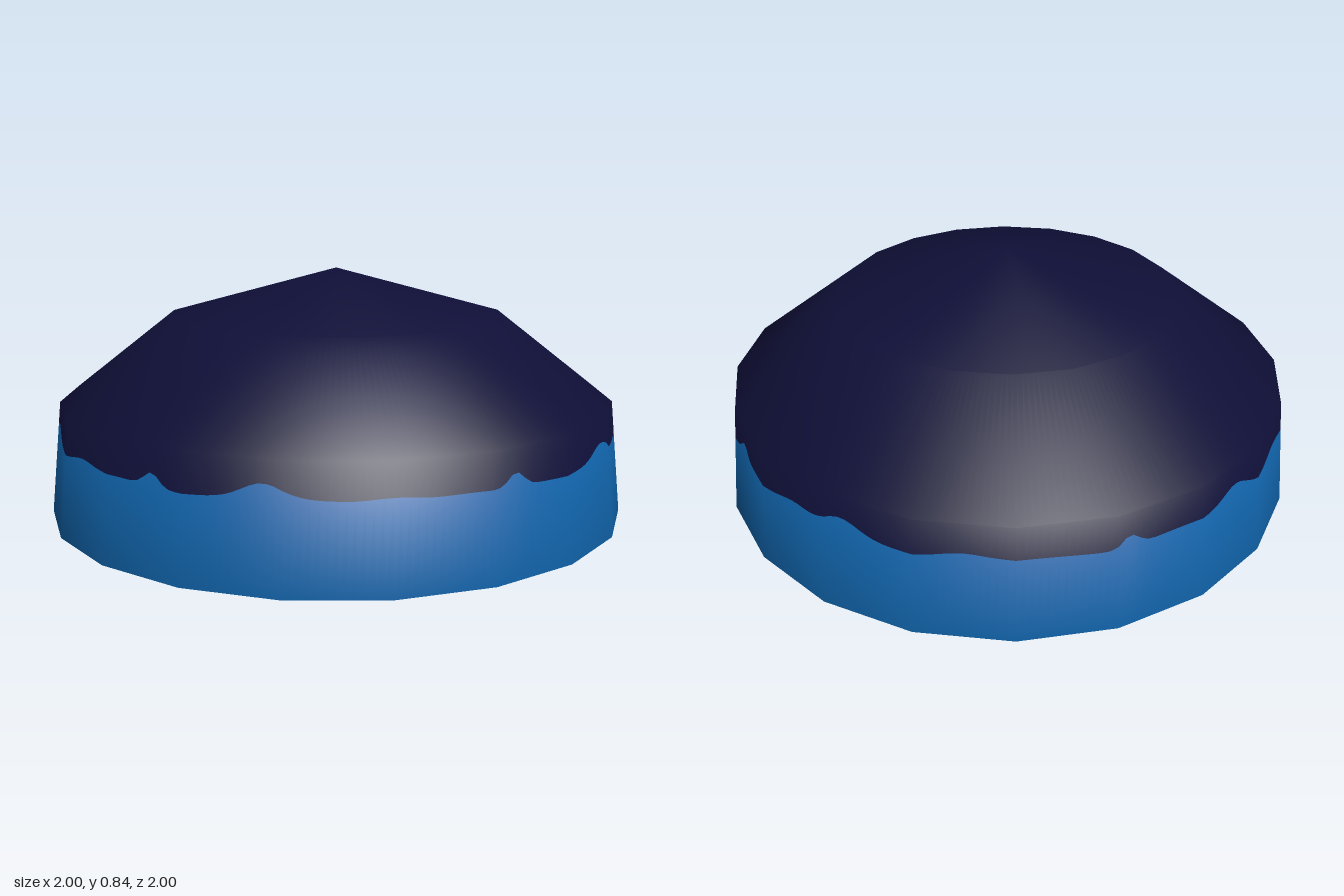
import * as THREE from 'three';

const SIDES = 20, STEPS = 12, TURN = 9.6; // facets, columns per facet, angle of first corner
// height, corner radius and normal elevation (degrees) of each ring
const RINGS = [[0, 1.01, 3], [0.39, 0.97, 33], [0.68, 0.596, 64], [0.842, 0, 90]];
// bumps of the paint edge: angle, height, width (degrees)
const BUMPS = [
  ...[6, 79, 157, 236, 300].map(a => [a, 0.043, 5]),
  ...[344.5, 51, 124, 210, 280].map(a => [a, 0.04, 2.4]),
  ...[28, 102, 145, 180, 255, 323].map(a => [a, 0.014, 5]),
];

function paintEdge(angle) {
  let y = 0.277 + 0.004 * Math.sin(THREE.MathUtils.degToRad(angle * 10));
  for (const [a, h, w] of BUMPS) {
    const d = THREE.MathUtils.euclideanModulo(angle - a + 180, 360) - 180;
    y += h * Math.exp(-((d / w) ** 2));
  }
  return y;
}

// point and smooth normal on the faceted shell
function shellPoint(column, y) {
  let k = 0;
  while (k < RINGS.length - 2 && y > RINGS[k + 1][0]) k++;
  const [y0, r0, e0] = RINGS[k], [y1, r1, e1] = RINGS[k + 1];
  const t = (y - y0) / (y1 - y0);
  const r = r0 + (r1 - r0) * t;
  const el = THREE.MathUtils.degToRad(e0 + (e1 - e0) * t);
  const side = Math.floor(column / STEPS), f = column / STEPS - side;
  const a = THREE.MathUtils.degToRad(TURN + side * 360 / SIDES);
  const b = a + 2 * Math.PI / SIDES, m = a + (b - a) * f;
  return {
    p: [r * (Math.sin(a) * (1 - f) + Math.sin(b) * f), y, r * (Math.cos(a) * (1 - f) + Math.cos(b) * f)],
    n: [Math.sin(m) * Math.cos(el), Math.sin(el), Math.cos(m) * Math.cos(el)],
  };
}

// shell surface through rows of heights; each row is a function of the angle
function shellGeometry(rows) {
  const pos = [], nor = [], idx = [], cols = SIDES * STEPS, w = cols + 1;
  rows.forEach((row, j) => {
    for (let i = 0; i <= cols; i++) {
      const { p, n } = shellPoint(i, row(TURN + i * 360 / cols));
      pos.push(...p);
      nor.push(...n);
      if (j && i < cols) {
        const a = (j - 1) * w + i, d = j * w + i;
        idx.push(a, a + 1, d + 1, a, d + 1, d);
      }
    }
  });
  const g = new THREE.BufferGeometry();
  g.setAttribute('position', new THREE.Float32BufferAttribute(pos, 3));
  g.setAttribute('normal', new THREE.Float32BufferAttribute(nor, 3));
  g.setIndex(idx);
  return g;
}

export function createModel() {
  const group = new THREE.Group();
  const material = (name, color) => new THREE.MeshStandardMaterial({ name, color, side: THREE.DoubleSide });
  const blue = material('blue', 0x1062a8);
  const navy = material('navy', 0x0f0f38);
  const brown = material('brown', 0x4a3a22);
  const add = (name, geometry, mat, x = 0, y = 0, z = 0) => {
    const mesh = new THREE.Mesh(geometry, mat);
    mesh.name = name;
    mesh.position.set(x, y, z);
    group.add(mesh);
  };

  // open shell: blue wall below, navy dome above a dripping edge
  add('lowerWall', shellGeometry([() => 0, paintEdge]), blue);
  add('dome', shellGeometry([paintEdge, ...RINGS.slice(1).map(r => () => r[0])]), navy);

  // floor disc, leaving a gap to the wall
  add('floorDisc', new THREE.CylinderGeometry(0.78, 0.78, 0.008, 12), navy, 0, 0.006);

  // thin fibres lying across the floor, a few reaching past its rim
  for (let i = 0; i < 30; i++) {
    const z = -0.7 + i * 1.4 / 29;
    const half = Math.sqrt(0.78 ** 2 - z * z) - 0.03 + (i % 4 === 0 ? 0.06 : 0);
    add('floorFibre', new THREE.BoxGeometry(2 * half, 0.004, 0.005), brown, 0, 0.012, z);
  }

  // upright panel inside the shell
  add('innerPanel', new THREE.BoxGeometry(0.008, 0.36, 0.25), blue, -0.615, 0.18, -0.135);
  return group;
}
